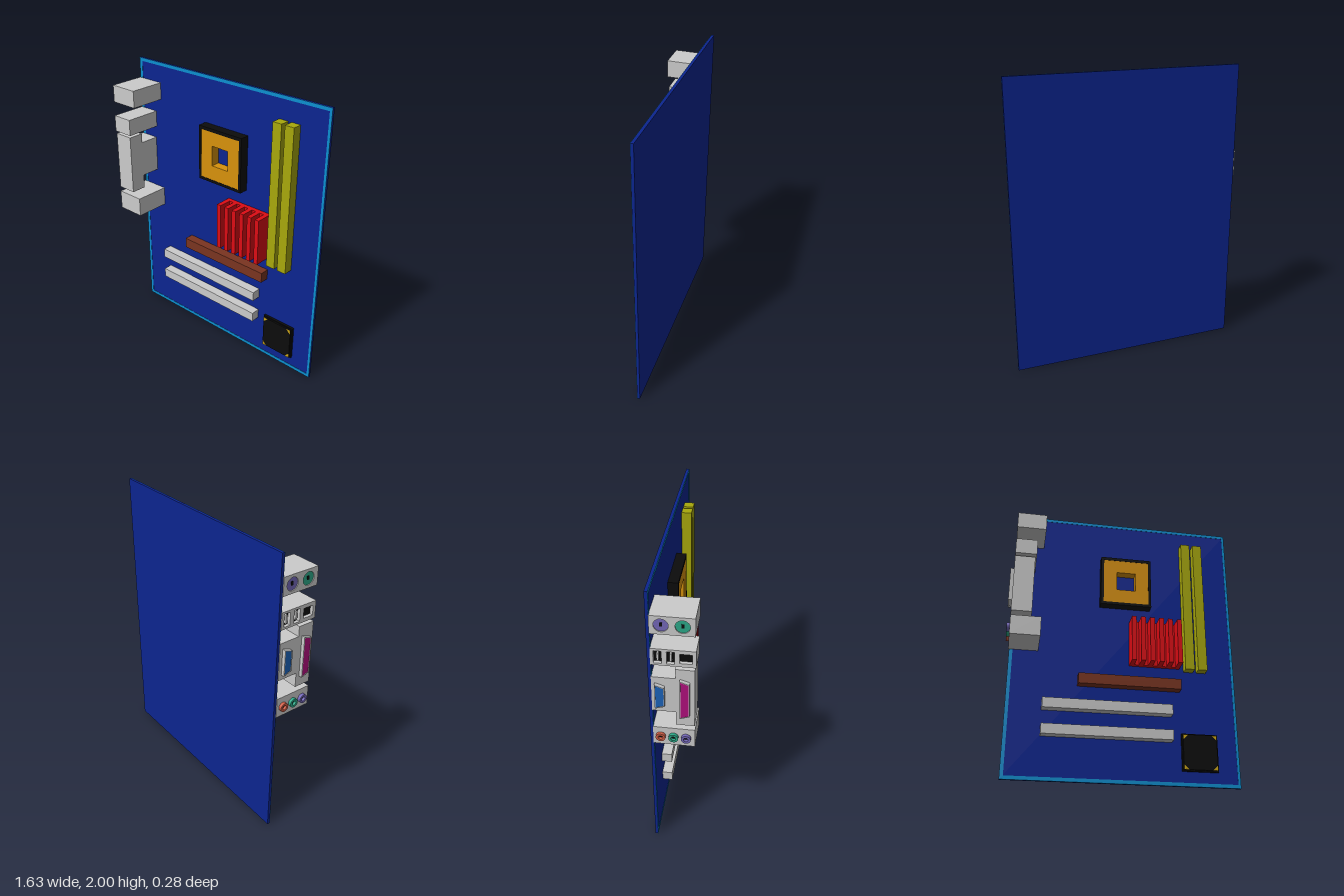
import * as THREE from 'three';

const BOARD_Z = -0.122; // front face of the board
const EDGE_X = -0.795; // outer face of the rear connectors

const mat = (color) => new THREE.MeshStandardMaterial({ color });
const M = {
  grey: mat(0xcccccc), blue: mat(0x0c2590), cyan: mat(0x0c8fd0), black: mat(0x0c0c0c),
  orange: mat(0xd8920c), red: mat(0xdd0c14), olive: mat(0xa8a80c), brown: mat(0x7a3420),
  gold: mat(0xd0a818), green: mat(0x2ca888), purple: mat(0x7468b8), coral: mat(0xd06048),
  magenta: mat(0xb0107c), sky: mat(0x1c62b8),
};

export function createModel() {
  const model = new THREE.Group();

  function add(name, geometry, material, parent = model) {
    const mesh = new THREE.Mesh(geometry, material);
    mesh.name = name;
    parent.add(mesh);
    return mesh;
  }
  function group(name) {
    const g = new THREE.Group();
    g.name = name;
    model.add(g);
    return g;
  }
  // Box from its lower and upper limits on each axis
  function box(name, material, [x0, x1], [y0, y1], [z0, z1], parent) {
    const geo = new THREE.BoxGeometry(x1 - x0, y1 - y0, z1 - z0);
    geo.translate((x0 + x1) / 2, (y0 + y1) / 2, (z0 + z1) / 2);
    return add(name, geo, material, parent);
  }
  const poly = (pts) => new THREE.Shape(pts.map(([x, y]) => new THREE.Vector2(x, y)));
  const rect = (x0, x1, y0, y1) => poly([[x0, y0], [x1, y0], [x1, y1], [x0, y1]]);
  const circle = (x, y, r) => new THREE.Shape().absarc(x, y, r, 0, Math.PI * 2);
  // Extrude a front-facing outline with holes between two depths
  function plate(name, material, shape, holes, z0, z1, parent) {
    shape.holes.push(...holes);
    const geo = new THREE.ExtrudeGeometry(shape, { depth: z1 - z0, bevelEnabled: false, curveSegments: 12 });
    return add(name, geo.translate(0, 0, z0), material, parent);
  }
  // Extrude a (z, y) outline outwards along -x, from xIn to xOut
  function sidePlate(name, material, shape, holes, xIn, xOut, parent) {
    shape.holes.push(...holes);
    const geo = new THREE.ExtrudeGeometry(shape, { depth: xIn - xOut, bevelEnabled: false, curveSegments: 10 });
    return add(name, geo.rotateY(-Math.PI / 2).translate(xIn, 0, 0), material, parent);
  }

  // Circuit board with a light border on its front
  box('board', M.blue, [-0.79, 0.815], [0, 2], [-0.14, BOARD_Z]);
  plate('boardBorder', M.cyan, rect(-0.79, 0.815, 0, 2), [rect(-0.765, 0.797, 0.025, 1.977)],
    BOARD_Z, BOARD_Z + 0.002);

  // Processor socket: black rim around an orange ring
  const socket = group('processorSocket');
  plate('socketRim', M.black, rect(-0.165, 0.205, 1.28, 1.67), [rect(-0.145, 0.185, 1.3, 1.647)],
    BOARD_Z, -0.055, socket);
  plate('socketRing', M.orange, rect(-0.145, 0.185, 1.3, 1.647), [rect(-0.048, 0.09, 1.405, 1.548)],
    BOARD_Z, -0.057, socket);

  // Memory slots
  for (const x of [0.445, 0.537]) box('memorySlot', M.olive, [x, x + 0.067], [0.815, 1.845], [BOARD_Z, -0.055]);

  // Heat sink: base plate and upright fins
  const sink = group('heatSink');
  box('heatSinkBase', M.red, [0.052, 0.413], [0.835, 1.17], [BOARD_Z, -0.09], sink);
  for (let i = 0; i < 6; i++) {
    const x = 0.052 + i * 0.0656;
    box('heatSinkFin', M.red, [x, x + 0.033], [0.835, 1.17], [-0.09, 0.003], sink);
  }

  // Expansion slots
  box('graphicsSlot', M.brown, [-0.31, 0.41], [0.66, 0.735], [BOARD_Z, -0.055]);
  for (const y of [0.295, 0.475]) box('expansionSlot', M.grey, [-0.547, 0.345], [y, y + 0.07], [BOARD_Z, -0.055]);

  // Chip: stepped black package with gold corners
  const chip = group('chip');
  box('chipBase', M.black, [0.41, 0.661], [0.1, 0.357], [BOARD_Z, -0.104], chip);
  box('chipTop', M.black, [0.418, 0.653], [0.108, 0.349], [-0.104, -0.092], chip);
  for (const sx of [-1, 1]) for (const sy of [-1, 1]) {
    const cx = 0.5355 + sx * 0.1165, cy = 0.2285 + sy * 0.1195;
    plate('chipCorner', M.gold, poly([[cx, cy], [cx - sx * 0.034, cy], [cx, cy - sy * 0.034]]), [],
      -0.092, -0.0905, chip);
  }

  // Port housing: solid body with a face plate whose openings show coloured or dark floors
  function housing(name, xIn, [y0, y1], [z0, z1], openings) {
    const g = group(name);
    const face = EDGE_X + 0.025;
    box(name + 'Body', M.grey, [face, xIn], [y0, y1], [z0, z1], g);
    sidePlate(name + 'Face', M.grey, rect(z0, z1, y0, y1), openings.map((o) => o.make()), face, EDGE_X, g);
    for (const o of openings) sidePlate(name + 'Socket', o.material, o.make(), [], face, EDGE_X + o.sunk, g);
    return g;
  }

  // Keyboard and mouse ports
  const round = (z, y, r, material) => ({ make: () => circle(z, y, r), material, sunk: 0.006 });
  const keyPorts = housing('keyboardMousePorts', -0.59, [1.735, 1.855], [BOARD_Z, 0.135],
    [round(-0.055, 1.795, 0.042, M.purple), round(0.065, 1.795, 0.042, M.green)]);
  for (const z of [-0.055, 0.065]) {
    sidePlate('portKey', M.black, rect(z - 0.008, z + 0.008, 1.785, 1.81), [], EDGE_X + 0.01, EDGE_X + 0.004, keyPorts);
  }

  // Data ports and network port
  const slot = (z, w, y0, y1) => ({ make: () => rect(z - w, z + w, y0, y1), material: M.black, sunk: 0.022 });
  const dataPorts = housing('dataPorts', -0.645, [1.52, 1.635], [BOARD_Z, 0.139],
    [slot(-0.08, 0.023, 1.535, 1.62), slot(-0.005, 0.023, 1.535, 1.62), slot(0.082, 0.036, 1.545, 1.61)]);
  for (const z of [-0.08, -0.005]) {
    sidePlate('dataPortTongue', M.grey, rect(z - 0.006, z + 0.006, 1.55, 1.605), [],
      EDGE_X + 0.024, EDGE_X + 0.004, dataPorts);
  }

  // Display and printer ports: tapered shells with coloured cores
  const dSub = group('displayPrinterPorts');
  box('displayHousing', M.grey, [EDGE_X, -0.655], [1.175, 1.432], [BOARD_Z, 0.02], dSub);
  box('printerHousing', M.grey, [EDGE_X, -0.655], [1.075, 1.5], [0.02, 0.132], dSub);
  const taper = (z, y, w, h, t) => poly([[z - w, y - h], [z + w, y - h + t], [z + w, y + h - t], [z - w, y + h]]);
  for (const [name, z, y, h, material] of [
    ['displayPort', -0.072, 1.3, 0.09, M.sky], ['printerPort', 0.075, 1.288, 0.143, M.magenta]]) {
    sidePlate(name + 'Shell', M.grey, taper(z, y, 0.029, h, 0.02), [taper(z, y, 0.024, h - 0.006, 0.018)],
      EDGE_X, -0.819, dSub);
    sidePlate(name + 'Core', material, taper(z, y, 0.024, h - 0.006, 0.018), [], EDGE_X, -0.816, dSub);
  }

  // Audio jacks: hollow coloured rings with dark centres
  const audio = group('audioJacks');
  box('audioHousing', M.grey, [EDGE_X, -0.59], [0.902, 1.04], [BOARD_Z, 0.134], audio);
  [[-0.075, M.coral], [0.003, M.green], [0.08, M.purple]].forEach(([z, material]) => {
    sidePlate('audioJackRing', material, circle(z, 0.971, 0.03), [circle(z, 0.971, 0.015)], EDGE_X, -0.815, audio);
    sidePlate('audioJackHole', M.black, circle(z, 0.971, 0.015), [], EDGE_X, EDGE_X - 0.002, audio);
  });

  return model;
}
